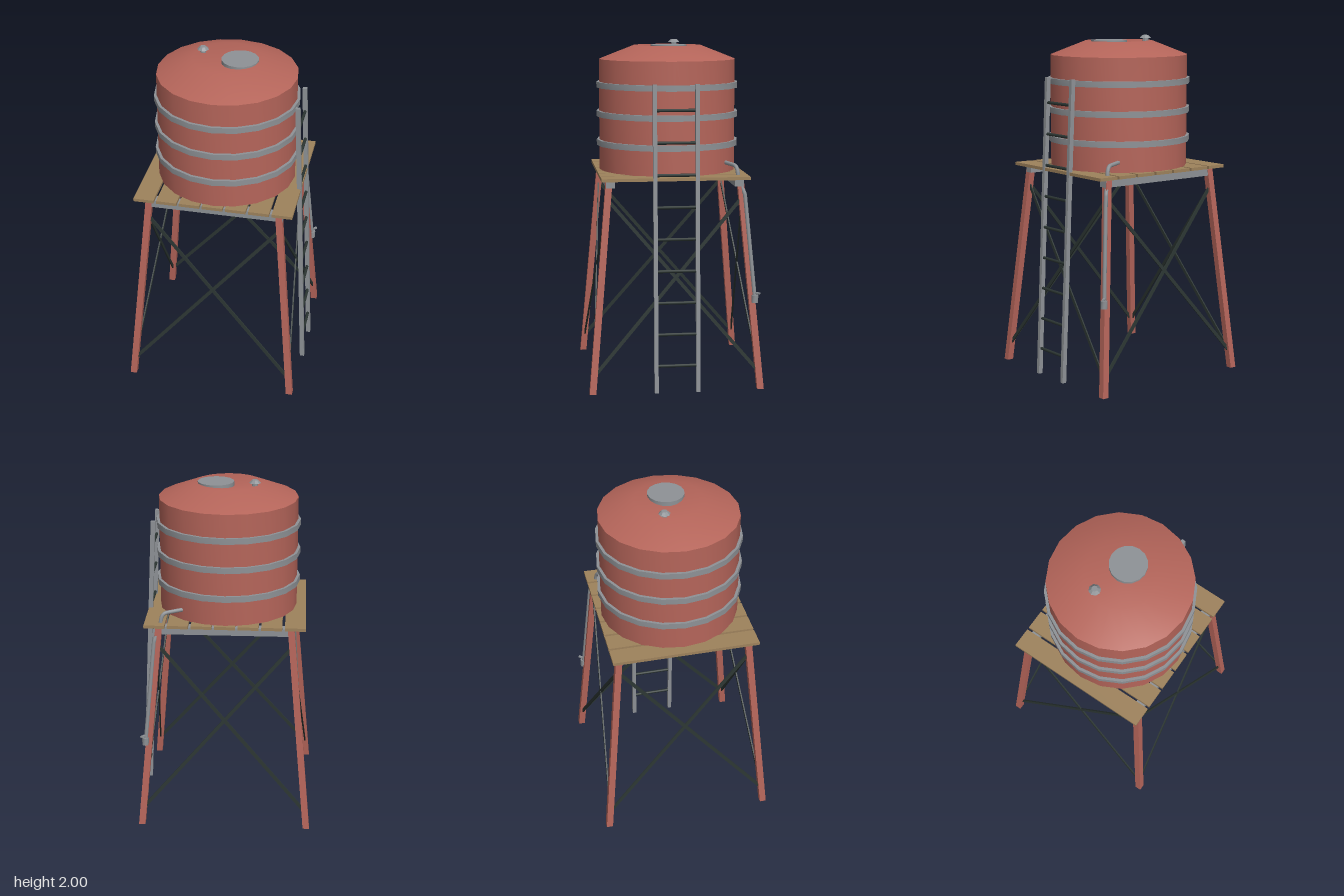
import * as THREE from 'three';
import { toCreasedNormals } from 'three/addons/utils/BufferGeometryUtils.js';

const mat = (name, color) => {
  const m = new THREE.MeshStandardMaterial({ color });
  m.name = name;
  return m;
};
const V = (x, y, z) => new THREE.Vector3(x, y, z);
const CX = -0.008; // shared centre line of tank, deck and legs

export function createModel() {
  const red = mat('rust red', 0xb5655a);
  const grey = mat('galvanised grey', 0x8e9296);
  const wood = mat('plank brown', 0x9e825c);
  const dark = mat('dark iron', 0x2c3633);

  const model = new THREE.Group();
  model.name = 'waterTower';
  const add = (name, geometry, material, x = 0, y = 0, z = 0) => {
    const mesh = new THREE.Mesh(geometry, material);
    mesh.name = name;
    mesh.position.set(x, y, z);
    model.add(mesh);
    return mesh;
  };
  // rectangular bar from a to b; its depth runs along the direction "out"
  const bar = (name, a, b, width, depth, out, material) => {
    const dir = b.clone().sub(a);
    const len = dir.length();
    dir.normalize();
    const side = dir.clone().cross(out).normalize();
    const face = side.clone().cross(dir);
    const g = new THREE.BoxGeometry(width, len, depth);
    g.applyMatrix4(new THREE.Matrix4().makeBasis(side, dir, face));
    const c = a.clone().add(b).multiplyScalar(0.5);
    return add(name, g, material, c.x, c.y, c.z);
  };
  const lathe = (pts) => toCreasedNormals(
    new THREE.LatheGeometry(pts.map(([r, y]) => new THREE.Vector2(r, y)), 20), 0.7);

  // tank with a sloped roof that dips slightly in the middle
  add('tank', lathe([[0, 1.237], [0.404, 1.237], [0.404, 1.89], [0.2, 1.97], [0, 1.945]]), red, CX);
  for (const y of [1.4, 1.57, 1.74]) {
    add('tankBand', lathe([[0.398, -0.017], [0.42, -0.017], [0.42, 0.017], [0.398, 0.017]]), grey, CX, y);
  }

  // roof hatch and vent
  add('hatch', toCreasedNormals(new THREE.CylinderGeometry(0.106, 0.106, 0.04, 16), 0.7), grey, 0.065, 1.955);
  const flat = (g) => toCreasedNormals(g, 0.1);
  add('ventStem', flat(new THREE.CylinderGeometry(0.018, 0.018, 0.05, 8)), grey, -0.162, 1.96, -0.06);
  add('ventCap', flat(new THREE.CylinderGeometry(0.017, 0.034, 0.017, 8)), grey, -0.162, 1.9915, -0.06);

  // deck planks and the two beams below
  for (let i = 0; i < 7; i++) {
    add('plank', new THREE.BoxGeometry(0.1185, 0.018, 0.85), wood, CX + (i - 3) * 0.1338, 1.23);
  }
  for (const s of [-1, 1]) {
    add('deckBeam', new THREE.BoxGeometry(0.775, 0.045, 0.052), grey, 0.005, 1.199, s * 0.37);
  }

  // splayed legs: upright boxes sheared inward
  const legOffset = (y) => 0.487 - 0.09 * y;
  for (const sx of [-1, 1]) {
    for (const sz of [-1, 1]) {
      const g = new THREE.BoxGeometry(0.038, 1.215, 0.038).translate(0, 0.6075, 0);
      const p = g.attributes.position;
      for (let i = 0; i < p.count; i++) {
        const o = legOffset(p.getY(i));
        p.setX(i, p.getX(i) + sx * o);
        p.setZ(i, p.getZ(i) + sz * o);
      }
      g.computeVertexNormals();
      add('leg', g, red, CX);
    }
  }

  // crossed flat braces on all four sides
  const lo = legOffset(0.1), hi = legOffset(1.11);
  for (let k = 0; k < 4; k++) {
    const turn = (v) => v.applyAxisAngle(V(0, 1, 0), k * Math.PI / 2);
    for (const s of [-1, 1]) {
      const a = turn(V(s * lo, 0.1, lo));
      const b = turn(V(-s * hi, 1.11, hi));
      a.x += CX;
      b.x += CX;
      bar('brace', a, b, 0.02, 0.008, turn(V(0, 0, 1)), dark);
    }
  }

  // leaning ladder on the left side
  const railX = (y) => 0.498 - 0.0446 * y;
  for (const s of [-1, 1]) {
    bar('ladderRail', V(railX(0), 0, s * 0.121), V(railX(1.765), 1.765, s * 0.121), 0.023, 0.026, V(1, 0, 0), grey);
  }
  for (let i = 0; i < 9; i++) {
    const y = 0.155 + i * 0.183;
    const g = new THREE.CylinderGeometry(0.009, 0.009, 0.235, 8).rotateX(Math.PI / 2);
    add('ladderRung', g, dark, railX(y), y, 0);
  }

  // outlet pipe running down the back left leg to a tap
  const path = new THREE.CurvePath();
  const pts = [V(0.23, 1.298, -0.308), V(0.325, 1.292, -0.35), V(0.36, 1.23, -0.368),
    V(0.397, 1.13, -0.402), V(0.45, 0.54, -0.455)];
  path.add(new THREE.LineCurve3(pts[0], pts[1]));
  path.add(new THREE.QuadraticBezierCurve3(pts[1], V(0.358, 1.29, -0.365), pts[2]));
  path.add(new THREE.LineCurve3(pts[2], pts[3]));
  path.add(new THREE.LineCurve3(pts[3], pts[4]));
  add('outletPipe', new THREE.TubeGeometry(path, 60, 0.012, 8), grey);
  add('tapBody', toCreasedNormals(new THREE.CylinderGeometry(0.02, 0.02, 0.045, 8), 0.9), grey, 0.452, 0.528, -0.456);
  const handle = add('tapHandle', new THREE.BoxGeometry(0.045, 0.009, 0.014), grey, 0.46, 0.563, -0.465);
  handle.rotation.y = Math.PI / 4;

  return model;
}
